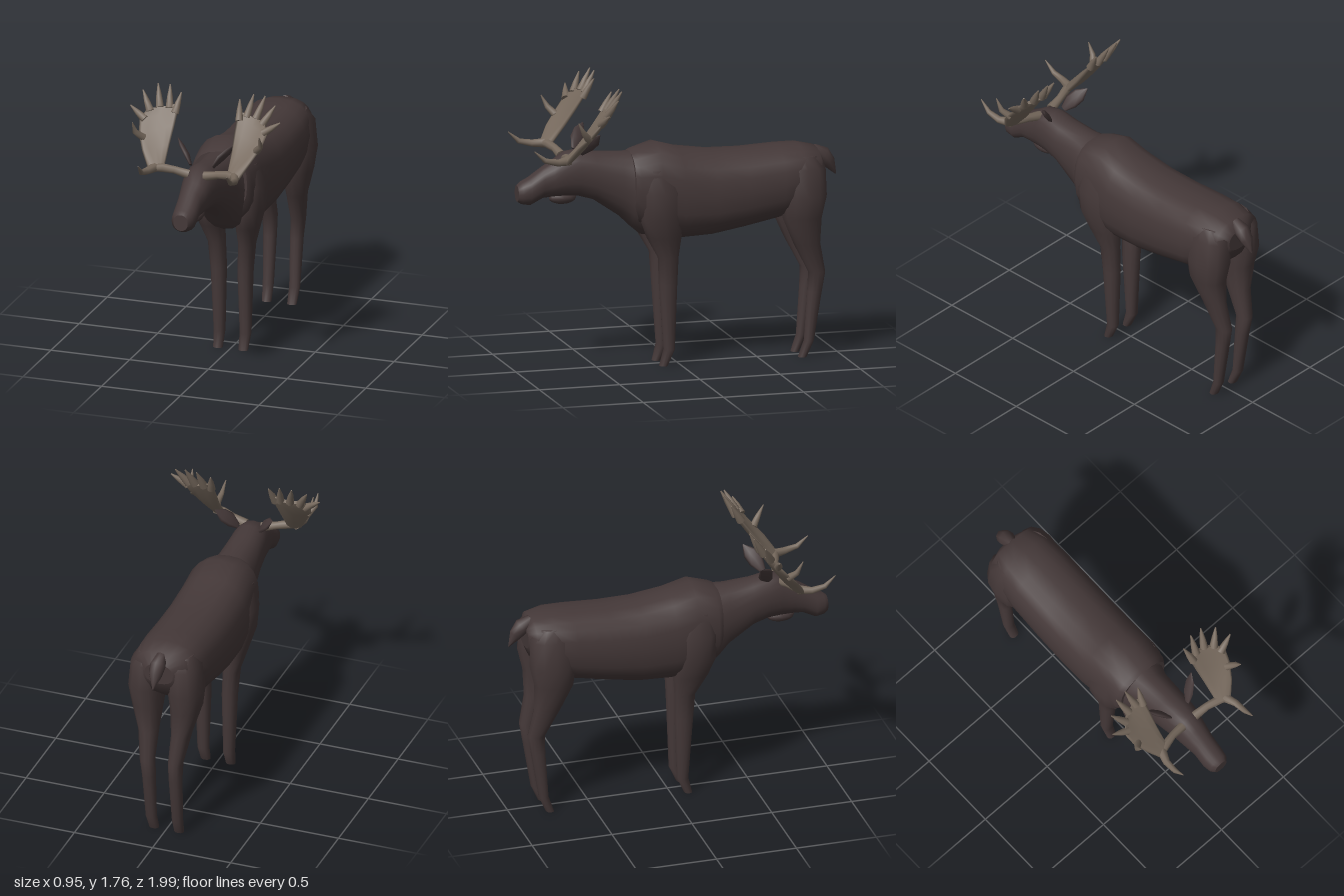
import * as THREE from 'three';

const V = (x, y, z) => new THREE.Vector3(x, y, z);

// Skin a list of equal-sized point rings, cap both ends, and face the result outwards
function loft(rings) {
  const n = rings[0].length, pos = [], idx = [];
  rings.forEach(r => r.forEach(p => pos.push(p.x, p.y, p.z)));
  for (let i = 0; i < rings.length - 1; i++)
    for (let j = 0; j < n; j++) {
      const a = i * n + j, b = i * n + (j + 1) % n;
      idx.push(a, b, a + n, b, b + n, a + n);
    }
  [rings[0], rings[rings.length - 1]].forEach((r, end) => {
    const start = pos.length / 3;
    r.forEach(p => pos.push(p.x, p.y, p.z));
    const c = r.reduce((s, p) => s.add(p), V(0, 0, 0)).divideScalar(n);
    pos.push(c.x, c.y, c.z);
    for (let j = 0; j < n; j++) {
      const a = start + j, b = start + (j + 1) % n;
      idx.push(start + n, ...(end ? [a, b] : [b, a]));
    }
  });
  const at = i => V(pos[3 * i], pos[3 * i + 1], pos[3 * i + 2]);
  let volume = 0;
  for (let i = 0; i < idx.length; i += 3)
    volume += at(idx[i]).dot(at(idx[i + 1]).cross(at(idx[i + 2])));
  if (volume < 0) idx.reverse();
  const g = new THREE.BufferGeometry();
  g.setAttribute('position', new THREE.Float32BufferAttribute(pos, 3));
  g.setIndex(idx);
  g.computeVertexNormals();
  return g;
}

// Closed ring; power below 1 makes the oval squarer
function ring(n, power, place) {
  const f = t => Math.sign(t) * Math.pow(Math.abs(t), power);
  return Array.from({ length: n }, (_, i) => {
    const a = i / n * Math.PI * 2;
    return place(f(Math.cos(a)), f(Math.sin(a)));
  });
}

// Rows of [z, bottom, top, half width]
const trunk = (rows, power) => loft(rows.map(([z, y0, y1, w]) =>
  ring(20, power, (c, s) => V(c * w, (y0 + y1) / 2 + s * (y1 - y0) / 2, z))));

// Rows of [y, inner x, outer x, back z, front z]
const leg = (rows, side) => loft(rows.map(([y, x0, x1, z0, z1]) =>
  ring(12, 0.9, (c, s) => V(side * ((x0 + x1) / 2 + c * (x1 - x0) / 2), y, (z0 + z1) / 2 + s * (z1 - z0) / 2))));

// Tapered limb along [x, y, z, radius]; flat squashes it into a leaf
function limb(path, side = 1, flat = 1, n = 8) {
  const p = path.map(q => V(q[0], q[1], q[2]));
  const whole = p[p.length - 1].clone().sub(p[0]).normalize();
  const ref = Math.abs(whole.x) > 0.8 ? V(0, 1, 0) : V(1, 0, 0);
  return loft(p.map((c, i) => {
    const t = p[Math.min(i + 1, p.length - 1)].clone().sub(p[Math.max(i - 1, 0)]).normalize();
    const u = t.clone().cross(ref).normalize(), v = u.clone().cross(t), r = path[i][3];
    return ring(n, 1, (a, b) => {
      const q = c.clone().addScaledVector(u, a * r).addScaledVector(v, b * r * flat);
      q.x *= side;
      return q;
    });
  }));
}

// Cupped antler blade; rows of inner edge, outer edge, half thickness
function palm(side) {
  const rows = [
    [V(0.20, 1.345, 0.72), V(0.285, 1.32, 0.77), 0.024],
    [V(0.197, 1.45, 0.64), V(0.345, 1.42, 0.715), 0.02],
    [V(0.19, 1.55, 0.57), V(0.39, 1.50, 0.645), 0.017],
    [V(0.187, 1.63, 0.515), V(0.405, 1.57, 0.59), 0.014],
    [V(0.205, 1.66, 0.495), V(0.37, 1.63, 0.545), 0.01],
  ];
  const normal = V(-0.2, 0.64, 0.75).normalize();
  return loft(rows.map(([a, b, thick], i) => {
    const c = a.clone().add(b).multiplyScalar(0.5), u = b.clone().sub(a).multiplyScalar(0.5);
    return ring(12, 1, (k, s) => {
      const q = c.clone().addScaledVector(u, k)
        .addScaledVector(normal, s * thick - (i ? 0.022 : 0) * (1 - k * k));
      q.x *= side;
      return q;
    });
  }));
}

export function createModel() {
  const model = new THREE.Group();
  const hide = new THREE.MeshStandardMaterial({ color: 0x443838 });
  hide.name = 'dark brown hide';
  const horn = new THREE.MeshStandardMaterial({ color: 0x75685c });
  horn.name = 'grey brown antler';
  const add = (name, geometry, material = hide, parent = model) => {
    const mesh = new THREE.Mesh(geometry, material);
    mesh.name = name;
    parent.add(mesh);
    return mesh;
  };

  // Torso with shoulder hump
  add('torso', trunk([
    [0.30, 0.93, 1.312, 0.175], [0.27, 0.87, 1.325, 0.198], [0.14, 0.80, 1.365, 0.215],
    [0, 0.77, 1.325, 0.222], [-0.2, 0.78, 1.295, 0.225], [-0.4, 0.815, 1.29, 0.225],
    [-0.62, 0.86, 1.30, 0.222], [-0.75, 0.92, 1.30, 0.21], [-0.86, 1.0, 1.275, 0.175],
    [-0.895, 1.08, 1.21, 0.09],
  ], 0.82));

  // Neck, skull and drooping muzzle
  add('neckAndHead', trunk([
    [0.12, 0.78, 1.30, 0.16], [0.23, 0.80, 1.31, 0.17], [0.30, 0.86, 1.315, 0.16],
    [0.36, 0.92, 1.315, 0.135], [0.52, 1.03, 1.325, 0.118], [0.62, 1.06, 1.345, 0.11],
    [0.70, 1.065, 1.335, 0.098], [0.78, 1.065, 1.28, 0.085], [0.84, 1.06, 1.245, 0.075],
    [0.92, 1.02, 1.19, 0.074], [0.97, 1.03, 1.165, 0.066], [0.995, 1.045, 1.145, 0.045],
  ], 0.9));

  // Throat flap under the jaw
  const flap = add('throatFlap', new THREE.SphereGeometry(1, 12, 8));
  flap.scale.set(0.042, 0.038, 0.085);
  flap.position.set(0, 1.052, 0.71);

  add('tail', limb([[0, 1.255, -0.85, 0.03], [0, 1.215, -0.91, 0.05],
    [0, 1.165, -0.95, 0.04], [0, 1.09, -0.993, 0.003]]));

  const foreRows = [
    [1.22, 0.10, 0.195, 0.05, 0.24], [1.08, 0.06, 0.235, 0, 0.27], [0.92, 0.04, 0.222, 0, 0.265],
    [0.80, 0.045, 0.185, 0, 0.22], [0.67, 0.045, 0.148, 0.015, 0.145], [0.50, 0.038, 0.132, 0.02, 0.135],
    [0.10, 0.047, 0.118, 0.035, 0.105], [0, 0.05, 0.11, 0.08, 0.13],
  ];
  const hindRows = [
    [1.24, 0.06, 0.17, -0.84, -0.66], [1.17, 0.02, 0.215, -0.895, -0.62], [1.0, 0.02, 0.232, -0.90, -0.615],
    [0.87, 0.03, 0.215, -0.87, -0.625], [0.70, 0.045, 0.165, -0.865, -0.70], [0.52, 0.045, 0.135, -0.90, -0.795],
    [0.40, 0.045, 0.125, -0.88, -0.79], [0.10, 0.05, 0.118, -0.83, -0.77], [0, 0.05, 0.11, -0.785, -0.735],
  ];
  // Antler points as base and tip
  const tines = [
    [[0.205, 1.61, 0.525], [0.185, 1.725, 0.46]], [[0.245, 1.63, 0.505], [0.265, 1.757, 0.435]],
    [[0.305, 1.63, 0.51], [0.34, 1.757, 0.44]], [[0.355, 1.61, 0.54], [0.42, 1.72, 0.485]],
    [[0.375, 1.57, 0.58], [0.475, 1.64, 0.555]],
  ];

  for (const [label, s] of [['left', 1], ['right', -1]]) {
    add(label + 'FrontLeg', leg(foreRows, s));
    add(label + 'HindLeg', leg(hindRows, s));
    add(label + 'Ear', limb([[0.07, 1.33, 0.62, 0.02], [0.105, 1.38, 0.59, 0.046],
      [0.145, 1.42, 0.56, 0.042], [0.183, 1.462, 0.53, 0.003]], s, 0.35));

    // Antler: beam, blade, forward brow tine, side tine and fan of points
    const antler = new THREE.Group();
    antler.name = label + 'Antler';
    model.add(antler);
    add('beam', limb([[0.05, 1.30, 0.705, 0.03], [0.14, 1.323, 0.715, 0.024],
      [0.21, 1.335, 0.735, 0.028], [0.275, 1.335, 0.76, 0.022]], s), horn, antler);
    add('palm', palm(s), horn, antler);
    add('browTine', limb([[0.25, 1.335, 0.74, 0.03], [0.28, 1.332, 0.82, 0.022],
      [0.283, 1.35, 0.90, 0.016], [0.28, 1.41, 0.967, 0.003]], s), horn, antler);
    add('sideTine', limb([[0.36, 1.48, 0.65, 0.024], [0.398, 1.525, 0.69, 0.017],
      [0.402, 1.595, 0.727, 0.003]], s), horn, antler);
    for (const [a, b] of tines) {
      const mid = a.map((v, i) => (v + b[i]) / 2);
      add('tine', limb([[...a, 0.026], [...mid, 0.018], [...b, 0.004]], s), horn, antler);
    }
  }
  return model;
}
